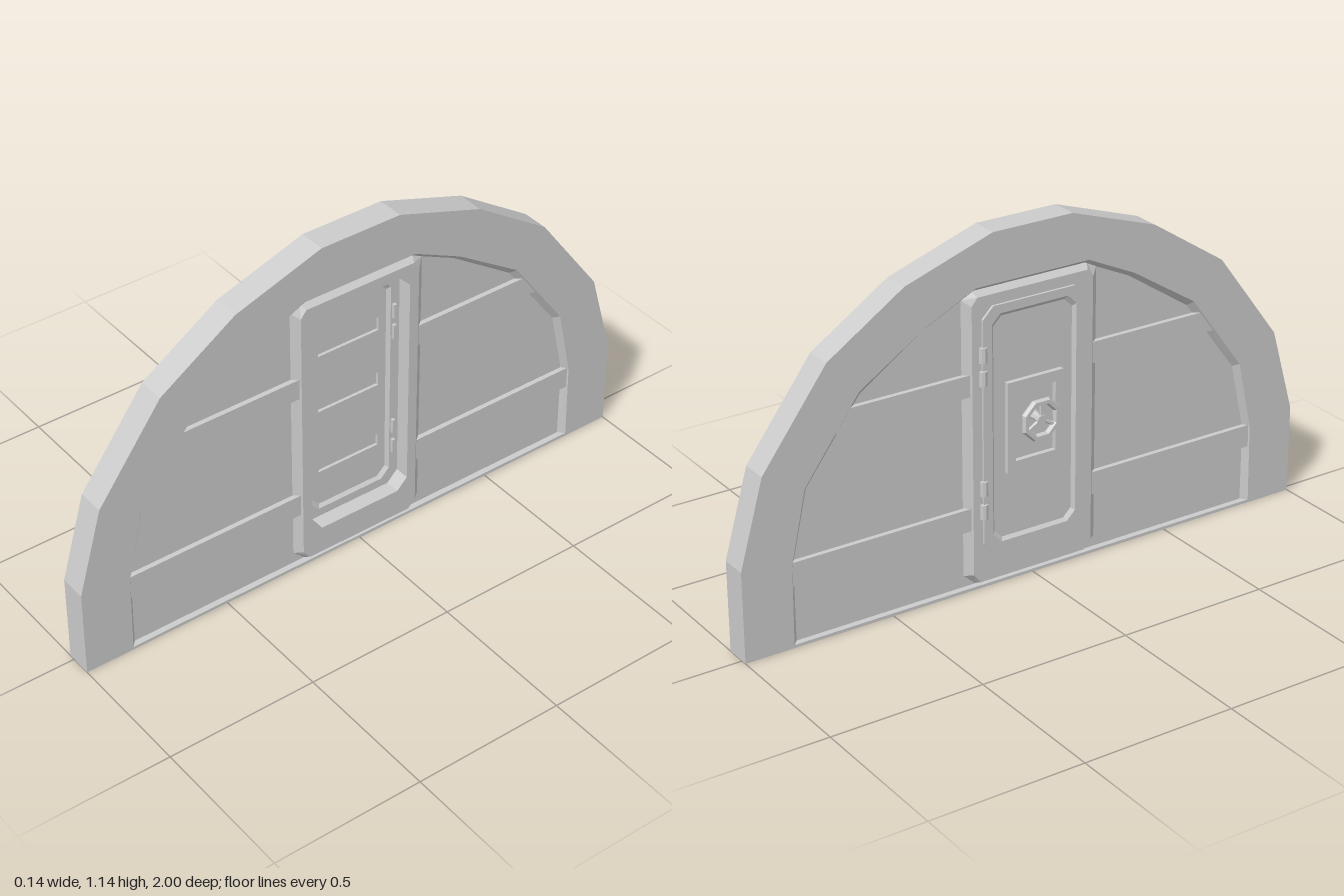
import * as THREE from 'three';

const mat = new THREE.MeshStandardMaterial({ color: 0xcccccc, flatShading: true, side: THREE.DoubleSide });

// Outlines are [z, y] points; the wall is thin along x.
const mirrored = half => [...half, ...half.map(([z, y]) => [-z, y]).reverse()];
const octagon = (w, y0, y1, c) => mirrored([[w - c, y0], [w, y0 + c], [w, y1 - c], [w - c, y1]]);
const rect = (w, y0, y1) => mirrored([[w, y0], [w, y1]]);
const vectors = loop => loop.map(([z, y]) => new THREE.Vector2(-z, y));

function add(parent, name, geometry) {
  const mesh = new THREE.Mesh(geometry, mat);
  mesh.name = name;
  parent.add(mesh);
  return mesh;
}

// Flat plate between x0 and x1 with optional holes
function plate(parent, name, outline, x0, x1, holes = []) {
  const shape = new THREE.Shape(vectors(outline));
  holes.forEach(h => shape.holes.push(new THREE.Path(vectors(h))));
  const geo = new THREE.ExtrudeGeometry(shape, { depth: x1 - x0, bevelEnabled: false });
  geo.rotateY(Math.PI / 2).translate(x0, 0, 0);
  return add(parent, name, geo);
}

// Sloping strip that joins two matching outlines at different depths
function bevel(parent, name, loopA, xA, loopB, xB) {
  const pos = [];
  loopA.forEach((_, i) => {
    const j = (i + 1) % loopA.length;
    const a = [xA, loopA[i][1], loopA[i][0]], b = [xA, loopA[j][1], loopA[j][0]];
    const c = [xB, loopB[j][1], loopB[j][0]], d = [xB, loopB[i][1], loopB[i][0]];
    // orient each quad away from the middle of the wall
    const n = new THREE.Vector3(...b).sub(new THREE.Vector3(...a))
      .cross(new THREE.Vector3(...d).sub(new THREE.Vector3(...a)));
    const outward = n.x * (xA - xB) > 0;
    pos.push(...(outward ? [a, b, c, a, c, d] : [a, c, b, a, d, c]).flat());
  });
  const geo = new THREE.BufferGeometry();
  geo.setAttribute('position', new THREE.Float32BufferAttribute(pos, 3));
  geo.computeVertexNormals();
  return add(parent, name, geo);
}

export function createModel() {
  const model = new THREE.Group();
  model.name = 'bulkheadDoor';
  const BACK = -0.02, FRONT = 0.07, PANEL_BACK = 0, PANEL_FRONT = 0.05;
  const faces = [[FRONT, PANEL_FRONT], [BACK, PANEL_BACK]];

  // Arched rim with sill
  const outer = mirrored([[1, 0], [1, 0.295], [0.92, 0.575], [0.7, 0.87], [0.44, 1.04], [0.14, 1.14]]);
  const inner = mirrored([[0.838, 0.01], [0.835, 0.27], [0.785, 0.5], [0.597, 0.755], [0.37, 0.9], [0.2, 0.98]]);
  const innerLow = mirrored([[0.82, 0.01], [0.82, 0.265], [0.77, 0.49], [0.583, 0.74], [0.36, 0.888], [0.195, 0.965]]);
  plate(model, 'archRim', outer, BACK, FRONT, [inner]);
  faces.forEach(([face, panel]) => bevel(model, 'rimBevel', inner, face, innerLow, panel));

  // Wall panel around the doorway
  const opening = octagon(0.182, 0.113, 0.915, 0.037);
  plate(model, 'wallPanel', inner, PANEL_BACK, PANEL_FRONT, [opening]);

  // Raised door frame
  const frameTop = mirrored([[0.19, 0.02], [0.215, 0.05], [0.215, 0.925], [0.195, 0.95]]);
  const frameBase = mirrored([[0.2, 0.011], [0.24, 0.048], [0.24, 0.945], [0.205, 0.968]]);
  plate(model, 'doorFrame', frameTop, BACK, FRONT, [opening]);
  faces.forEach(([face, panel]) => bevel(model, 'frameBevel', frameTop, face, frameBase, panel));

  // Horizontal beams either side of the door, on both faces
  [[0.2, 0.275, 0.837, 0.834], [0.64, 0.71, 0.682, 0.63]].forEach(([y0, y1, zLow, zHigh]) => {
    for (const s of [1, -1]) {
      const outline = [[s * 0.22, y0], [s * zLow, y0], [s * zHigh, y1], [s * 0.22, y1]];
      plate(model, 'crossBeam', outline, BACK + 0.004, FRONT - 0.004);
    }
  });

  // Door leaf: recessed on both faces, slots on the front
  const door = new THREE.Group();
  door.name = 'door';
  model.add(door);
  const recess = octagon(0.15, 0.142, 0.887, 0.03);
  const recessLow = octagon(0.14, 0.152, 0.875, 0.028);
  const slots = [[0.275, 0.317], [0.505, 0.552], [0.71, 0.756]].map(([a, b]) => rect(0.112, a, b));
  plate(door, 'doorFrontBorder', opening, 0.01, 0.02, [recess]);
  plate(door, 'doorSlottedFace', opening, 0, 0.01, slots);
  plate(door, 'doorCore', opening, -0.018, 0);
  plate(door, 'doorBackBorder', opening, -0.028, -0.018, [recess]);
  bevel(door, 'frontRecessBevel', recess, 0.02, recessLow, 0.01);
  bevel(door, 'backRecessBevel', recess, -0.028, recessLow, -0.018);

  // Hinges: knuckles on the back, small leaves on the front
  [0.258, 0.335, 0.693, 0.768].forEach(y => {
    const knuckle = add(door, 'hingeKnuckle', new THREE.CylinderGeometry(0.013, 0.013, 0.048, 8));
    knuckle.position.set(-0.024, y, -0.18);
    const leaf = add(door, 'hingeLeaf', new THREE.BoxGeometry(0.012, 0.05, 0.01));
    leaf.position.set(0.025, y, -0.16);
  });

  // Lock plate
  plate(door, 'lockPlateBorder', rect(0.1, 0.365, 0.66), -0.034, -0.018, [rect(0.072, 0.4, 0.625)]);

  // Handwheel with hub and spokes
  const wheel = new THREE.Group();
  wheel.name = 'handwheel';
  wheel.position.set(-0.061, 0.53, 0);
  door.add(wheel);
  add(wheel, 'wheelRim', new THREE.TorusGeometry(0.06, 0.012, 6, 8).rotateZ(Math.PI / 8).rotateY(Math.PI / 2));
  add(wheel, 'wheelShaft', new THREE.CylinderGeometry(0.018, 0.009, 0.044, 8).rotateZ(-Math.PI / 2).translate(0.022, 0, 0));
  add(wheel, 'wheelHub', new THREE.CylinderGeometry(0.016, 0.016, 0.016, 8).rotateZ(Math.PI / 2));
  for (let i = 0; i < 3; i++) {
    const spoke = add(wheel, 'wheelSpoke', new THREE.CylinderGeometry(0.006, 0.006, 0.056, 6).translate(0, 0.03, 0));
    spoke.rotation.x = i * Math.PI * 2 / 3;
  }
  return model;
}
